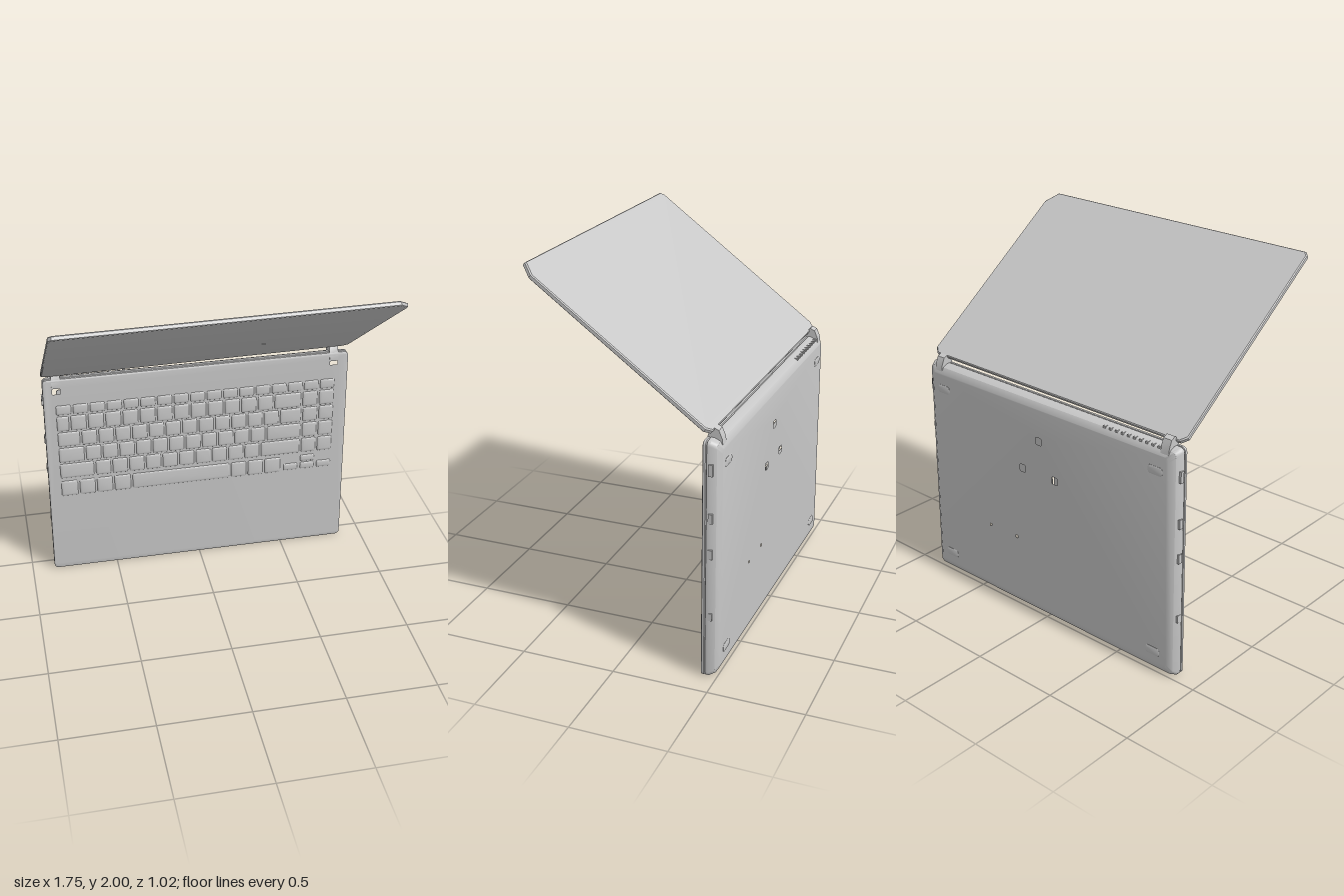
import * as THREE from 'three';
import { mergeGeometries, toCreasedNormals } from 'three/addons/utils/BufferGeometryUtils.js';

const grey = new THREE.MeshStandardMaterial({ color: 0xc8c8c8 });
grey.name = 'greyPlastic';

// Rounded rectangle as counter-clockwise points; inset shrinks it on all sides
function roundedRect(cx, cy, w, h, r, inset = 0, steps = 4) {
  const pts = [];
  const hw = w / 2 - inset, hh = h / 2 - inset;
  const corners = [[1, -1, -Math.PI / 2], [1, 1, 0], [-1, 1, Math.PI / 2], [-1, -1, Math.PI]];
  for (const [sx, sy, start] of corners) {
    for (let i = 0; i <= steps; i++) {
      const a = start + (i / steps) * Math.PI / 2;
      pts.push(new THREE.Vector2(cx + sx * (hw - r) + r * Math.cos(a), cy + sy * (hh - r) + r * Math.sin(a)));
    }
  }
  return pts;
}

// Flat cap at depth z, with optional holes, facing +z or -z
function cap(points, z, holes, flip) {
  const shape = new THREE.Shape(points);
  for (const h of holes) shape.holes.push(new THREE.Path(h));
  const g = new THREE.ShapeGeometry(shape);
  if (flip) g.index.array.reverse();
  g.translate(0, 0, z);
  const flat = g.toNonIndexed();
  flat.deleteAttribute('uv');
  flat.deleteAttribute('normal');
  return flat;
}

// Shell through [inset, z] rings, ordered from front (+z) to back
function shell(outline, rings, frontHoles = [], backHoles = []) {
  const loops = rings.map(([inset]) => outline(inset));
  const n = loops[0].length, pos = [];
  for (let k = 0; k + 1 < rings.length; k++) {
    for (let i = 0; i < n; i++) {
      const j = (i + 1) % n;
      const p = (ring, m) => [loops[ring][m].x, loops[ring][m].y, rings[ring][1]];
      const a = p(k, i), b = p(k, j), c = p(k + 1, j), d = p(k + 1, i);
      pos.push(...a, ...d, ...b, ...b, ...d, ...c);
    }
  }
  const wall = new THREE.BufferGeometry();
  wall.setAttribute('position', new THREE.Float32BufferAttribute(pos, 3));
  const last = rings.length - 1;
  const parts = [wall, cap(loops[0], rings[0][1], frontHoles, false), cap(loops[last], rings[last][1], backHoles, true)];
  return toCreasedNormals(mergeGeometries(parts), 0.6);
}

function add(parent, name, geometry) {
  const mesh = new THREE.Mesh(geometry, grey);
  mesh.name = name;
  parent.add(mesh);
  return mesh;
}

function box(parent, name, w, h, d, x, y, z) {
  add(parent, name, new THREE.BoxGeometry(w, h, d)).position.set(x, y, z);
}

export function createModel() {
  const model = new THREE.Group();
  model.name = 'laptop';

  // Upright hollow base with hinge openings in front and service openings behind
  const outline = inset => roundedRect(0, 0.631, 1.735, 1.262, 0.025, inset).map(p => {
    p.x *= 1.006 - 0.008 * p.y;
    return p;
  });
  const frontHoles = [[-0.79, 1.19], [0.78, 1.205]].map(([x, y]) => roundedRect(x, y, 0.045, 0.035, 0.005));
  const backHoles = [[0.03, 1.04, 0.04], [0.15, 0.85, 0.04], [-0.08, 0.85, 0.04], [0.41, 0.42, 0.014], [0.21, 0.42, 0.016]]
    .map(([x, y, s]) => roundedRect(x, y, s, s, s / 5));
  add(model, 'base', shell(outline,
    [[0.008, -0.417], [0, -0.422], [0, -0.434], [0.006, -0.437], [0, -0.441], [0, -0.457], [0.014, -0.487], [0.045, -0.505]],
    frontHoles, backHoles));

  // Keyboard: rows of [bottom, top, relative key widths]
  const keyboard = new THREE.Group();
  keyboard.name = 'keyboard';
  model.add(keyboard);
  const ones = n => Array(n).fill(1);
  const rows = [
    [1.04, 1.1, ones(17)],
    [0.935, 1.03, [0.8, ...ones(12), 1.7, 1, 1]],
    [0.835, 0.927, [1.4, ...ones(12), 1.4, 1, 1]],
    [0.73, 0.825, [1.6, ...ones(11), 2.2, 1, 1]],
    [0.625, 0.72, [2.1, ...ones(10), 2.5, 1, 1]],
  ];
  const key = (x0, x1, y0, y1) => {
    const w = x1 - x0 - 0.01;
    const g = shell(i => roundedRect((x0 + x1) / 2, (y0 + y1) / 2, w, y1 - y0, 0.008, i, 2),
      [[0.012, -0.411], [0.004, -0.413], [0, -0.418]]);
    add(keyboard, 'key', g);
  };
  for (const [y0, y1, widths] of rows) {
    const unit = 1.6 / widths.reduce((a, b) => a + b, 0);
    let x = -0.805;
    for (const w of widths) {
      key(x, x + w * unit, y0, y1);
      x += w * unit;
    }
  }
  // Bottom row with the space bar and half-height arrow keys
  const edges = [-0.805, -0.7, -0.6, -0.5, -0.395, 0.185, 0.285, 0.385, 0.49];
  for (let i = 0; i + 1 < edges.length; i++) key(edges[i], edges[i + 1], 0.505, 0.605);
  for (const x of [0.5, 0.6, 0.7]) key(x, x + 0.095, 0.51, 0.555);
  key(0.6, 0.695, 0.562, 0.605);

  // Hinges joining the base and the lid
  const hingeProfile = new THREE.Shape([[-0.415, 1.212], [-0.415, 1.24], [-0.43, 1.29], [-0.452, 1.312],
    [-0.478, 1.3], [-0.495, 1.26], [-0.502, 1.2], [-0.46, 1.212]].map(([z, y]) => new THREE.Vector2(-z, y)));
  for (const x of [-0.79, 0.78]) {
    const g = new THREE.ExtrudeGeometry(hingeProfile, { depth: 0.05, bevelEnabled: false });
    g.rotateY(Math.PI / 2);
    g.translate(x - 0.025, 0, 0);
    add(model, 'hinge', toCreasedNormals(g, 0.7));
  }

  // Lid leaning forward, with one clipped corner
  const lidPoints = inset => [
    [-0.84 + inset, inset], [0.83 - inset, inset], [0.862 - inset, 0.03 + inset], [0.864 - inset, 1.11 - inset],
    [0.81 - inset, 1.18 - inset], [-0.855 + inset, 1.18 - inset], [-0.872 + inset, 1.16 - inset], [-0.87 + inset, 0.03 + inset],
  ].map(([x, y]) => new THREE.Vector2(x, y));
  const lid = add(model, 'lid', shell(lidPoints, [[0.005, 0], [0, -0.004], [0, -0.02], [0.005, -0.025]]));
  lid.position.set(0, 1.281, -0.441);
  lid.rotation.set(0.936, 0.009, 0);

  // Rubber feet on the underside
  for (const x of [-0.74, 0.74]) {
    for (const y of [0.12, 1.13]) {
      add(model, 'foot', shell(i => roundedRect(x, y, 0.09, 0.045, 0.015, i), [[0, -0.5], [0, -0.506], [0.006, -0.509]]));
    }
  }

  // Vent slats along the rear edge
  for (let i = 0; i < 10; i++) box(model, 'ventSlat', 0.014, 0.012, 0.02, -0.75 + i * 0.038, 1.25, -0.482);

  // Port surrounds on both sides
  for (const side of [-1, 1]) {
    for (const [y, h] of [[1.12, 0.06], [0.87, 0.05], [0.68, 0.05], [0.34, 0.04]]) {
      box(model, 'port', 0.012, h, 0.022, side * 0.866, y, -0.462);
    }
  }
  return model;
}
